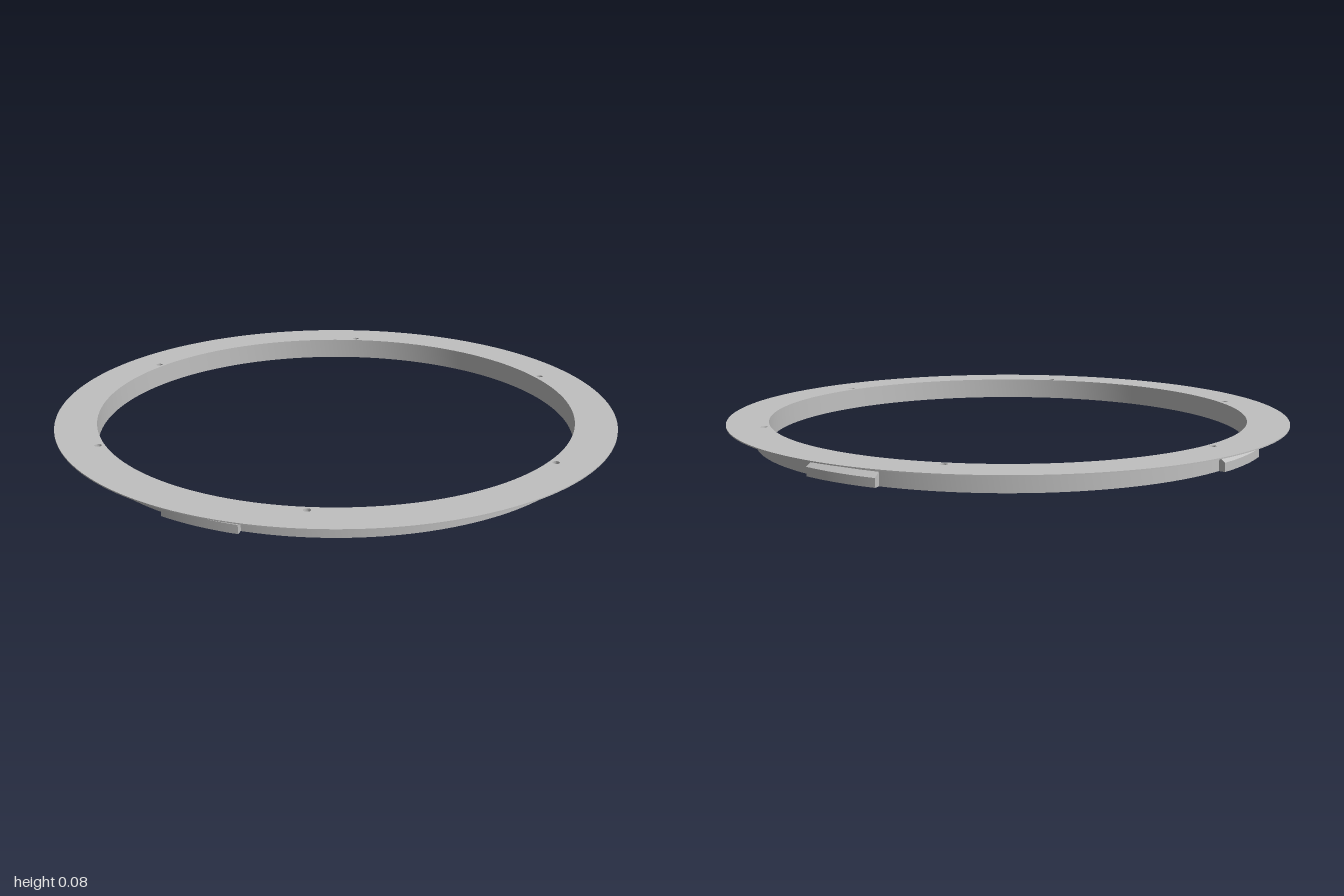
import * as THREE from 'three';
import { toCreasedNormals } from 'three/addons/utils/BufferGeometryUtils.js';

const INNER = 0.853, WALL = 0.9, TAB = 0.922, TOP = 0.077, SHEET = 0.004;
const SEGMENTS = 160;

const v = (x, y) => new THREE.Vector2(x, y);

function circlePoints(cx, cy, r, n) {
  return Array.from({ length: n }, (_, i) => {
    const a = (i / n) * Math.PI * 2;
    return v(cx + r * Math.cos(a), cy + r * Math.sin(a));
  });
}

export function createModel() {
  const group = new THREE.Group();
  const grey = new THREE.MeshStandardMaterial({ color: 0xc0c0c0, side: THREE.DoubleSide });
  grey.name = 'grey';

  const add = (name, geometry, parent = group) => {
    const mesh = new THREE.Mesh(toCreasedNormals(geometry, 0.5), grey);
    mesh.name = name;
    parent.add(mesh);
    return mesh;
  };

  // Six screw hole positions on the inner edge of the flange
  const holes = Array.from({ length: 6 }, (_, i) => {
    const a = (i * Math.PI) / 3;
    return v(0.875 * Math.cos(a), 0.875 * Math.sin(a));
  });

  // Thin flange on top
  const disc = new THREE.Shape(circlePoints(0, 0, 1, SEGMENTS));
  disc.holes.push(new THREE.Path(circlePoints(0, 0, INNER, SEGMENTS)));
  for (const h of holes) disc.holes.push(new THREE.Path(circlePoints(h.x, h.y, 0.012, 20)));
  const flange = new THREE.ExtrudeGeometry(disc, { depth: SHEET, bevelEnabled: false });
  flange.rotateX(-Math.PI / 2).translate(0, TOP - SHEET, 0);
  add('flange', flange);

  // Collar wall below the flange
  add('collar', new THREE.LatheGeometry(
    [v(INNER, TOP - SHEET), v(INNER, 0), v(WALL, 0), v(WALL, TOP - SHEET)], SEGMENTS));

  // Blind screw holes sunk into the collar
  for (const h of holes) {
    const pocket = new THREE.LatheGeometry([v(0.012, TOP - SHEET), v(0.012, 0.03), v(0, 0.03)], 20);
    add('screwHole', pocket).position.set(h.x, 0, -h.y);
  }

  // Four bayonet tabs with a sloped upper edge, one per quarter turn
  const sweep = 0.3;
  const profile = [v(WALL - 0.002, 0), v(TAB, 0), v(TAB, 0.03), v(WALL - 0.002, 0.046)];
  for (let i = 0; i < 4; i++) {
    const tab = new THREE.Group();
    tab.name = 'bayonetTab';
    tab.rotation.y = (i * Math.PI) / 2;
    add('tabBody', new THREE.LatheGeometry(profile, 16, 0, sweep), tab);
    for (const angle of [0, sweep]) {
      const cap = new THREE.ShapeGeometry(new THREE.Shape(profile));
      add('tabEnd', cap.rotateY(angle - Math.PI / 2), tab);
    }
    group.add(tab);
  }

  return group;
}
